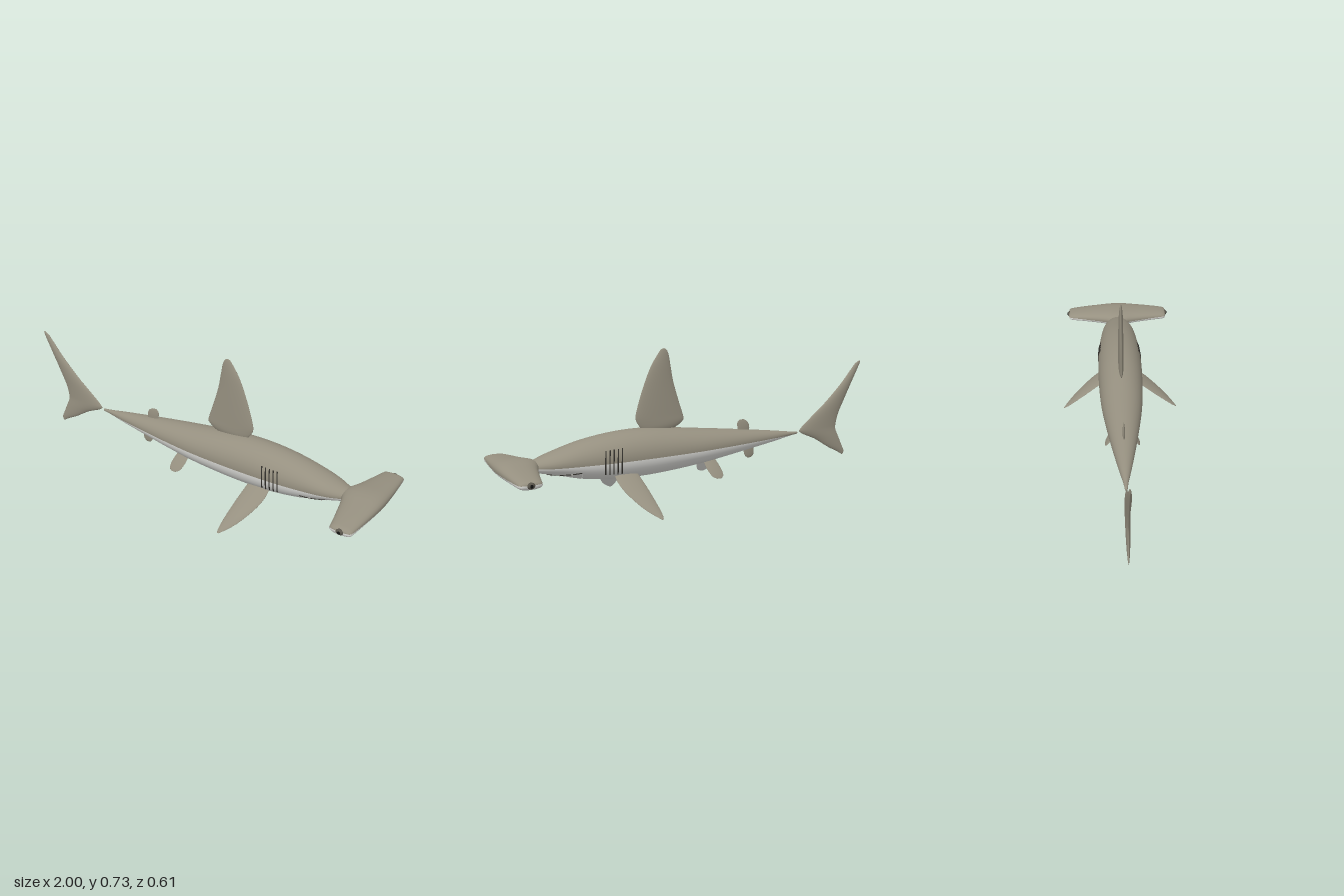
import * as THREE from 'three';

const mat = (name, color) => Object.assign(new THREE.MeshStandardMaterial({ color }), { name });
const SPLIT = 0.238; // height where the back colour meets the belly colour
const HALF = 16; // segments in the upper and in the lower half of each ring

// Skin a list of rings; group 0 is the upper half of each ring, group 1 the lower half
function loft(rings) {
  const n = HALF * 2, pos = [], halves = [[], []];
  rings.forEach(r => r.forEach(p => pos.push(p.x, p.y, p.z)));
  const side = j => halves[j < HALF ? 0 : 1];
  for (let i = 0; i < rings.length - 1; i++) {
    for (let j = 0; j < n; j++) {
      const a = i * n + j, b = i * n + (j + 1) % n;
      side(j).push(a, b, a + n, b, b + n, a + n);
    }
  }
  // End caps
  [0, rings.length - 1].forEach((i, end) => {
    const c = new THREE.Vector3();
    rings[i].forEach(p => c.addScaledVector(p, 1 / n));
    const k = pos.length / 3;
    pos.push(c.x, c.y, c.z);
    for (let j = 0; j < n; j++) {
      const a = i * n + j, b = i * n + (j + 1) % n;
      if (end) side(j).push(a, b, k);
      else side(j).push(b, a, k);
    }
  });
  const g = new THREE.BufferGeometry();
  g.setAttribute('position', new THREE.Float32BufferAttribute(pos, 3));
  g.setIndex([...halves[0], ...halves[1]]);
  g.addGroup(0, halves[0].length, 0);
  g.addGroup(halves[0].length, halves[1].length, 1);
  g.computeVertexNormals();
  return g;
}

// Ring angles, with the colour seam at angle a on both sides
function ringAngles(a) {
  const out = [];
  for (let j = 0; j < HALF; j++) out.push(a + (Math.PI - 2 * a) * j / HALF);
  for (let j = 0; j < HALF; j++) out.push(Math.PI - a + (Math.PI + 2 * a) * j / HALF);
  return out;
}
const seam = (cy, ry) => Math.asin(THREE.MathUtils.clamp((SPLIT - cy) / ry, -0.8, 0.8));
const spow = (v, e) => Math.sign(v) * Math.abs(v) ** e;

// Body profile at even steps of 0.15 from x = -0.6: top, bottom, half width
const TOP = [0.251, 0.272, 0.293, 0.313, 0.332, 0.351, 0.363, 0.358, 0.336, 0.295, 0.25];
const BOTTOM = [0.239, 0.216, 0.195, 0.174, 0.155, 0.142, 0.135, 0.139, 0.159, 0.198, 0.226];
const WIDTH = [0.006, 0.032, 0.058, 0.081, 0.1, 0.11, 0.114, 0.112, 0.1, 0.075, 0.015];
function sample(list, x) {
  const t = (x + 0.6) / 0.15, i = Math.min(Math.floor(t), 9), f = t - i;
  const at = k => list[THREE.MathUtils.clamp(k, 0, 10)];
  const m0 = (at(i + 1) - at(i - 1)) / 2, m1 = (at(i + 2) - at(i)) / 2;
  const f2 = f * f, f3 = f2 * f;
  return (2 * f3 - 3 * f2 + 1) * at(i) + (f3 - 2 * f2 + f) * m0 + (3 * f2 - 2 * f3) * at(i + 1) + (f3 - f2) * m1;
}
function section(x) {
  const t = sample(TOP, x), b = sample(BOTTOM, x);
  return { cy: (t + b) / 2, ry: (t - b) / 2, rz: sample(WIDTH, x) };
}
function bodyPoint(x, angle, lift = 0) {
  const s = section(x);
  return new THREE.Vector3(x, s.cy + (s.ry + lift) * Math.sin(angle), -(s.rz + lift) * Math.cos(angle));
}
function bodyGeometry() {
  const rings = [];
  for (let i = 0; i <= 60; i++) {
    const x = -0.6 + 1.5 * i / 60, s = section(x);
    rings.push(ringAngles(seam(s.cy, s.ry)).map(a => bodyPoint(x, a)));
  }
  return loft(rings);
}

// Wide head: half stations of z, back x, front x, top, bottom
function headGeometry() {
  const half = [
    [0.02, 0.802, 0.997, 0.284, 0.204], [0.06, 0.82, 0.995, 0.28, 0.206], [0.1, 0.833, 0.992, 0.275, 0.208],
    [0.15, 0.845, 0.988, 0.27, 0.21], [0.2, 0.857, 0.983, 0.264, 0.212], [0.25, 0.867, 0.978, 0.257, 0.214],
    [0.268, 0.871, 0.975, 0.253, 0.217], [0.275, 0.88, 0.967, 0.248, 0.222], [0.278, 0.9, 0.945, 0.242, 0.23],
  ];
  const all = [...half.map(([z, ...r]) => [-z, ...r]).reverse(), ...half];
  return loft(all.map(([z, x0, x1, t, b]) => {
    const cy = (t + b) / 2, ry = (t - b) / 2;
    return ringAngles(seam(cy, ry)).map(a => new THREE.Vector3(
      (x0 + x1) / 2 + (x1 - x0) / 2 * spow(Math.cos(a), 0.85), cy + ry * spow(Math.sin(a), 0.85), z));
  }));
}

// Fin: sections of span, trailing x, leading x, half thickness; span runs from the root along dir
function finGeometry(root, dir, sections) {
  const s = new THREE.Vector3(...dir).normalize();
  const normal = s.clone().cross(new THREE.Vector3(1, 0, 0));
  const curve = k => new THREE.CatmullRomCurve3(sections.map(r => new THREE.Vector3(r[0], r[k], r[3])));
  const trail = curve(1), lead = curve(2), steps = sections.length * 4, rings = [];
  for (let i = 0; i <= steps; i++) {
    const p = trail.getPoint(i / steps), q = lead.getPoint(i / steps);
    rings.push(ringAngles(0).map(a => new THREE.Vector3(...root)
      .addScaledVector(s, p.x)
      .addScaledVector(normal, p.z * spow(Math.sin(a), 1.3))
      .add(new THREE.Vector3((p.y + q.y) / 2 + (q.y - p.y) / 2 * Math.cos(a), 0, 0))));
  }
  return loft(rings);
}

export function createModel() {
  const skin = mat('back grey', 0x969080), belly = mat('belly white', 0xdcdcd8);
  const dark = mat('dark line', 0x35332e), eyeGrey = mat('eye grey', 0x5a564c);
  const black = mat('pupil black', 0x111111), ivory = mat('tooth white', 0xf4f2ea);
  const model = new THREE.Group();
  model.name = 'shark';
  const add = (name, geometry, material) => {
    const m = new THREE.Mesh(geometry, material);
    m.name = name;
    model.add(m);
    return m;
  };

  add('body', bodyGeometry(), [skin, belly]);
  add('head', headGeometry(), [skin, belly]);

  // Upright fins
  const up = [0, 1, 0], plain = [skin, skin];
  add('dorsalFin', finGeometry([0, 0, 0], up, [
    [0.345, 0.12, 0.275, 0.008], [0.365, 0.085, 0.295, 0.012], [0.385, 0.066, 0.31, 0.013], [0.412, 0.071, 0.32, 0.013],
    [0.47, 0.09, 0.308, 0.013], [0.58, 0.122, 0.27, 0.012], [0.66, 0.136, 0.234, 0.01],
    [0.71, 0.146, 0.2, 0.006], [0.728, 0.156, 0.186, 0.003], [0.734, 0.166, 0.174, 0.001]]), plain);
  add('rearDorsalFin', finGeometry([0, 0, 0], up, [
    [0.265, -0.3, -0.25, 0.006], [0.29, -0.308, -0.243, 0.006], [0.315, -0.307, -0.238, 0.006],
    [0.335, -0.297, -0.238, 0.004], [0.349, -0.275, -0.25, 0.001]]), plain);
  add('analFin', finGeometry([0, 0, 0], up, [
    [0.147, -0.32, -0.3, 0.001], [0.16, -0.334, -0.285, 0.004],
    [0.185, -0.337, -0.276, 0.006], [0.215, -0.33, -0.275, 0.006]]), plain);
  add('tailFin', finGeometry([0, 0, 0], up, [
    [0.095, -0.905, -0.895, 0.001], [0.112, -0.909, -0.868, 0.004], [0.144, -0.895, -0.805, 0.008],
    [0.2, -0.868, -0.715, 0.011], [0.238, -0.85, -0.63, 0.012], [0.252, -0.848, -0.615, 0.012],
    [0.268, -0.85, -0.626, 0.012], [0.32, -0.863, -0.69, 0.012], [0.38, -0.892, -0.767, 0.012],
    [0.48, -0.943, -0.875, 0.011], [0.56, -0.985, -0.945, 0.007],
    [0.585, -0.997, -0.968, 0.004], [0.597, -1, -0.99, 0.001]]), plain);

  for (const side of [1, -1]) {
    const label = side > 0 ? 'left' : 'right';
    const paired = side > 0 ? [skin, belly] : [belly, skin];

    // Paired fins with a pale underside
    add(label + 'PectoralFin', finGeometry([0, 0.162, side * 0.083], [0, -0.155, side * 0.215], [
      [-0.03, 0.35, 0.46, 0.008], [0.02, 0.342, 0.462, 0.01], [0.08, 0.333, 0.45, 0.011], [0.16, 0.324, 0.415, 0.01],
      [0.21, 0.32, 0.385, 0.007], [0.25, 0.32, 0.352, 0.004], [0.27, 0.324, 0.333, 0.001]]), paired);
    add(label + 'PelvicFin', finGeometry([0, 0.165, side * 0.03], [0, -0.078, side * 0.057], [
      [-0.01, -0.095, -0.03, 0.005], [0.03, -0.108, -0.034, 0.006], [0.06, -0.114, -0.042, 0.005],
      [0.085, -0.112, -0.055, 0.003], [0.097, -0.098, -0.075, 0.001]]), paired);

    // Gill slits
    for (let k = 0; k < 5; k++) {
      const pts = [];
      for (let i = 0; i <= 8; i++) {
        const a = -0.66 + 1.16 * i / 8;
        const x = 0.432 + 0.02 * k + 0.008 * Math.sin(Math.PI * i / 8);
        pts.push(bodyPoint(x, side > 0 ? Math.PI - a : a, 0.0005));
      }
      add(label + 'Gill' + (k + 1), new THREE.TubeGeometry(new THREE.CatmullRomCurve3(pts), 16, 0.003, 6), dark);
    }

    // Eye with a small pupil
    const eye = add(label + 'Eye', new THREE.SphereGeometry(0.016, 20, 14), eyeGrey);
    eye.position.set(0.924, 0.236, side * 0.274);
    eye.scale.set(1.15, 0.9, 0.75);
    const pupil = add(label + 'Pupil', new THREE.SphereGeometry(0.008, 16, 10), black);
    pupil.position.set(0.924, 0.236, side * 0.2825);
    pupil.scale.z = 0.7;
  }

  // Mouth line under the snout and the jaw crease behind it
  const mouthPoint = (t, front, sweep, lift) => bodyPoint(front - sweep * t * t, -Math.PI / 2 + t * 1.05, lift);
  const arc = (front, sweep) => new THREE.CatmullRomCurve3(
    Array.from({ length: 17 }, (_, i) => mouthPoint(i / 8 - 1, front, sweep, 0)));
  add('mouthLine', new THREE.TubeGeometry(arc(0.765, 0.14), 40, 0.003, 6), dark);
  add('jawCrease', new THREE.TubeGeometry(arc(0.61, -0.015), 40, 0.0018, 6), belly);

  // Teeth along the mouth line
  for (let i = -6; i <= 6; i++) {
    const size = i % 2 ? 0.009 : 0.013;
    const tooth = add('tooth' + (i + 7), new THREE.ConeGeometry(size * 0.35, size, 6), ivory);
    tooth.position.copy(mouthPoint(i / 7.5, 0.758, 0.14, 0.003));
    tooth.rotation.x = Math.PI;
  }
  return model;
}
